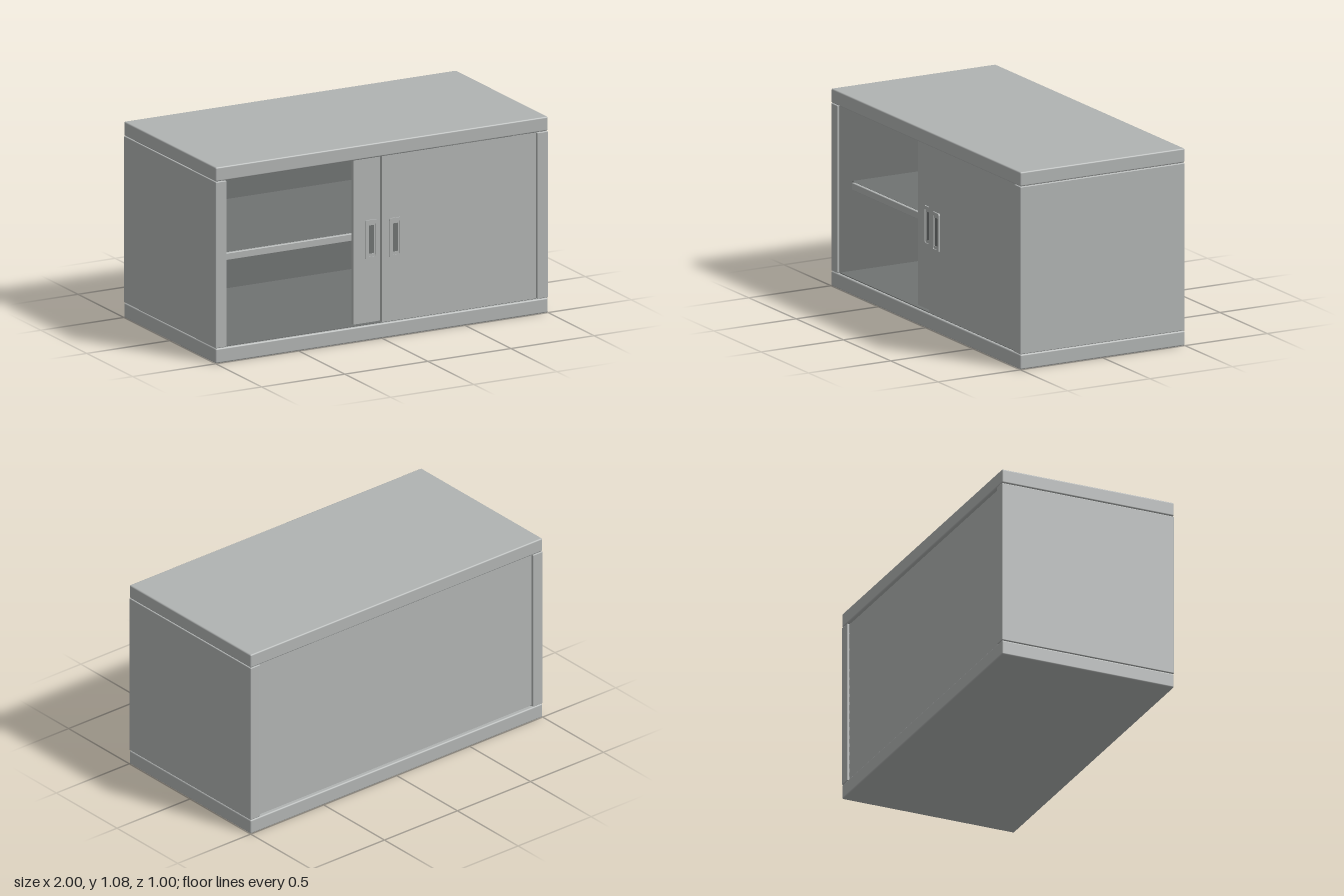
import * as THREE from 'three';
import { RoundedBoxGeometry } from 'three/addons/geometries/RoundedBoxGeometry.js';

const W = 2, D = 1, BASE = 0.083, CEIL = 0.995, H = 1.075, POST = 0.065;
const MID = (BASE + CEIL) / 2, WALL = CEIL - BASE;

export function createModel() {
  const cabinet = new THREE.Group();
  cabinet.name = 'slidingDoorCabinet';
  const steel = new THREE.MeshStandardMaterial({ name: 'light grey steel', color: 0xb0b3b2 });
  const inside = new THREE.MeshStandardMaterial({ name: 'dark grey interior', color: 0x707372 });

  function add(name, geometry, material, x, y, z, parent = cabinet) {
    const mesh = new THREE.Mesh(geometry, material);
    mesh.name = name;
    mesh.position.set(x, y, z);
    parent.add(mesh);
    return mesh;
  }
  const box = (w, h, d) => new THREE.BoxGeometry(w, h, d);
  const rounded = (w, h, d, r) => new RoundedBoxGeometry(w, h, d, 3, r);

  // Plinth and top slabs with softened edges
  add('plinth', rounded(W, BASE - 0.002, D, 0.008), steel, 0, (BASE - 0.002) / 2, 0);
  add('top', rounded(W, H - CEIL - 0.002, D, 0.008), steel, 0, (H + CEIL + 0.002) / 2, 0);

  // Side walls with dark inner linings
  for (const s of [-1, 1]) {
    add(s > 0 ? 'leftSide' : 'rightSide', rounded(POST, WALL, D, 0.004), steel,
      s * (W - POST) / 2, MID, 0);
    add(s > 0 ? 'leftLining' : 'rightLining', box(0.004, WALL, D - 0.03), inside,
      s * (W / 2 - POST - 0.001), MID, 0);
  }

  // Recessed back panel and the remaining interior linings
  const innerW = W - 2 * POST;
  add('backPanel', box(innerW, WALL - 0.008, 0.015), steel, 0, MID, -0.4775);
  add('backLining', box(innerW, WALL, 0.004), inside, 0, MID, -0.468);
  add('floorLining', box(innerW, 0.004, 0.95), inside, 0, BASE, 0.01);
  add('ceilingLining', box(innerW, 0.004, 0.95), inside, 0, CEIL, 0.01);

  // Shelf with a light front lip
  add('shelf', box(innerW, 0.038, 0.88), inside, 0, 0.555, -0.03);
  add('shelfLip', rounded(1.8, 0.04, 0.02, 0.004), steel, 0, 0.555, 0.422);

  // Rounded rectangle used for the handle frames
  function outline(Type, w, h, r) {
    const p = new Type(), a = w / 2, b = h / 2;
    p.moveTo(-a + r, -b);
    p.lineTo(a - r, -b);
    p.absarc(a - r, -b + r, r, -Math.PI / 2, 0);
    p.lineTo(a, b - r);
    p.absarc(a - r, b - r, r, 0, Math.PI / 2);
    p.lineTo(-a + r, b);
    p.absarc(-a + r, b - r, r, Math.PI / 2, Math.PI);
    p.lineTo(-a, -b + r);
    p.absarc(-a + r, -b + r, r, Math.PI, Math.PI * 1.5);
    return p;
  }
  function frame(w, h, r, holeW, holeH, holeR, depth) {
    const shape = outline(THREE.Shape, w, h, r);
    shape.holes.push(outline(THREE.Path, holeW, holeH, holeR));
    return new THREE.ExtrudeGeometry(shape, { depth, bevelEnabled: false, curveSegments: 6 });
  }

  // Sliding doors with flush pull handles; both stand on one half
  function door(name, x0, x1, front, handleX) {
    const group = new THREE.Group();
    group.name = name;
    cabinet.add(group);
    add('doorPanel', box(x1 - x0, WALL, 0.02), steel, (x0 + x1) / 2, MID, front - 0.01, group);
    add('handleFrame', frame(0.075, 0.215, 0.012, 0.047, 0.187, 0.008, 0.008), steel,
      handleX, MID, front, group);
    add('handleInnerFrame', frame(0.047, 0.187, 0.008, 0.03, 0.155, 0.004, 0.004), steel,
      handleX, MID, front, group);
    add('handleRecess', box(0.03, 0.155, 0.004), inside, handleX, MID, front, group);
  }
  door('rearDoor', -0.15, 0.775, 0.46, -0.043);
  door('frontDoor', 0.008, 0.935, 0.485, 0.088);

  return cabinet;
}
